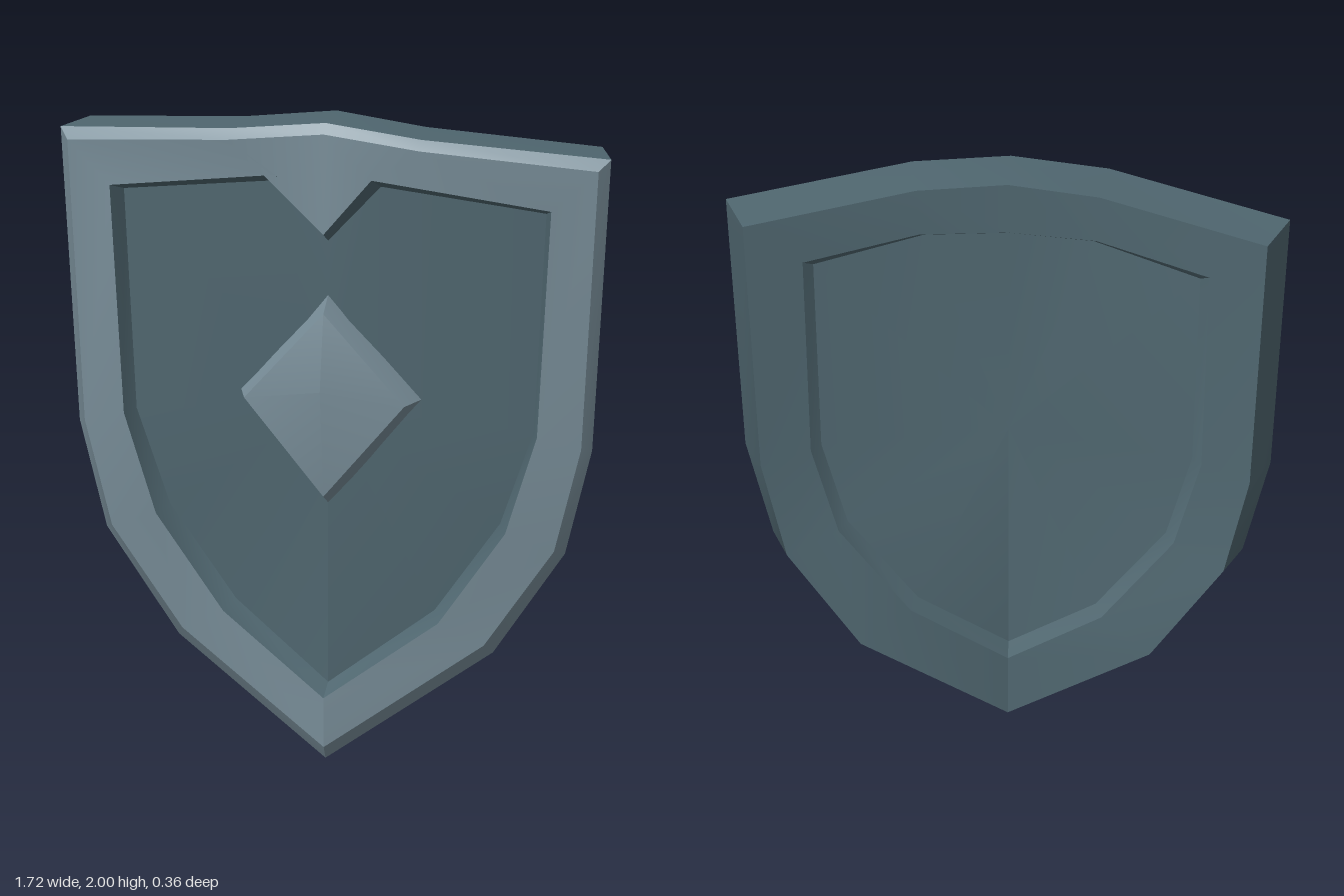
import * as THREE from 'three';
import { toCreasedNormals } from 'three/addons/utils/BufferGeometryUtils.js';

// Mirrors a right-hand half outline (top centre to bottom centre) into a full loop.
const mirrorLoop = (half) => [
  ...half,
  ...half.slice(1, -1).reverse().map(([x, y, z]) => [-x, y, z]),
];

// Strip of quads between two loops with equal point counts.
function band(a, b) {
  const out = [];
  for (let i = 0; i < a.length; i++) {
    const j = (i + 1) % a.length;
    out.push(a[i], b[i], b[j], a[i], b[j], a[j]);
  }
  return out;
}

// Fan that closes a loop, facing front or back.
function cap(loop, centre, front) {
  const out = [];
  loop.forEach((p, i) => {
    const q = loop[(i + 1) % loop.length];
    out.push(...(front ? [p, centre, q] : [centre, p, q]));
  });
  return out;
}

function part(name, points, material) {
  const g = new THREE.BufferGeometry();
  g.setAttribute('position', new THREE.Float32BufferAttribute(points.flat(), 3));
  const mesh = new THREE.Mesh(toCreasedNormals(g, 0.5), material);
  mesh.name = name;
  return mesh;
}

export function createModel() {
  const steel = new THREE.MeshStandardMaterial({ color: 0x788d98 });
  steel.name = 'light steel';
  const slate = new THREE.MeshStandardMaterial({ color: 0x4f666f });
  slate.name = 'dark slate';

  // Outlines, from the back recess round to the front panel
  const backPanel = mirrorLoop([
    [0, 1.79, -0.01], [0.26, 1.77, -0.01], [0.59, 1.71, -0.1], [0.565, 1.03, -0.1],
    [0.485, 0.745, -0.1], [0.27, 0.465, -0.1], [0, 0.245, -0.01]]);
  const backOpening = mirrorLoop([
    [0, 1.82, -0.05], [0.27, 1.8, -0.05], [0.62, 1.74, -0.135], [0.595, 1.03, -0.135],
    [0.51, 0.73, -0.135], [0.29, 0.44, -0.135], [0, 0.21, -0.05]]);
  const backEdge = mirrorLoop([
    [0, 2, -0.05], [0.28, 1.965, -0.05], [0.8, 1.9, -0.18], [0.745, 1, -0.18],
    [0.665, 0.665, -0.18], [0.44, 0.34, -0.18], [0, 0.005, -0.05]]);
  const frontEdge = mirrorLoop([
    [0, 2, 0.1], [0.3, 1.965, 0.1], [0.86, 1.9, -0.04], [0.8, 0.98, -0.04],
    [0.715, 0.65, -0.04], [0.49, 0.325, -0.04], [0, 0, 0.1]]);
  const bevelEdge = mirrorLoop([
    [0, 1.97, 0.125], [0.3, 1.935, 0.125], [0.83, 1.87, 0], [0.775, 0.99, 0],
    [0.69, 0.665, 0], [0.47, 0.355, 0], [0, 0.04, 0.125]]);
  const frontOpening = mirrorLoop([
    [0, 1.655, 0.13], [0.15, 1.835, 0.13], [0.69, 1.745, 0.035], [0.645, 1.03, 0.035],
    [0.545, 0.72, 0.035], [0.335, 0.425, 0.035], [0, 0.195, 0.13]]);
  const frontPanel = mirrorLoop([
    [0, 1.62, 0.065], [0.165, 1.8, 0.065], [0.66, 1.72, -0.03], [0.62, 1.03, -0.03],
    [0.515, 0.735, -0.03], [0.31, 0.45, -0.03], [0, 0.23, 0.065]]);

  // Raised diamond boss
  const bossBase = mirrorLoop([[0, 1.455, 0.055], [0.285, 1.125, 0.01], [0, 0.79, 0.055]]);
  const bossEdge = mirrorLoop([[0, 1.405, 0.13], [0.25, 1.125, 0.12], [0, 0.83, 0.13]]);

  const shield = new THREE.Group();
  shield.name = 'shield';
  shield.add(
    part('frontRim', [...band(frontEdge, bevelEdge), ...band(bevelEdge, frontOpening)], steel),
    part('frontRecessWall', band(frontOpening, frontPanel), slate),
    part('frontPanel', cap(frontPanel, [0, 1.1, 0.065], true), slate),
    part('outerWall', band(backEdge, frontEdge), slate),
    part('backRim', [...band(backOpening, backEdge), ...band(backPanel, backOpening)], slate),
    part('backPanel', cap(backPanel, [0, 1.05, -0.01], false), slate),
    part('diamondBoss', [...band(bossBase, bossEdge), ...cap(bossEdge, [0, 1.17, 0.178], true)], steel),
  );
  return shield;
}
